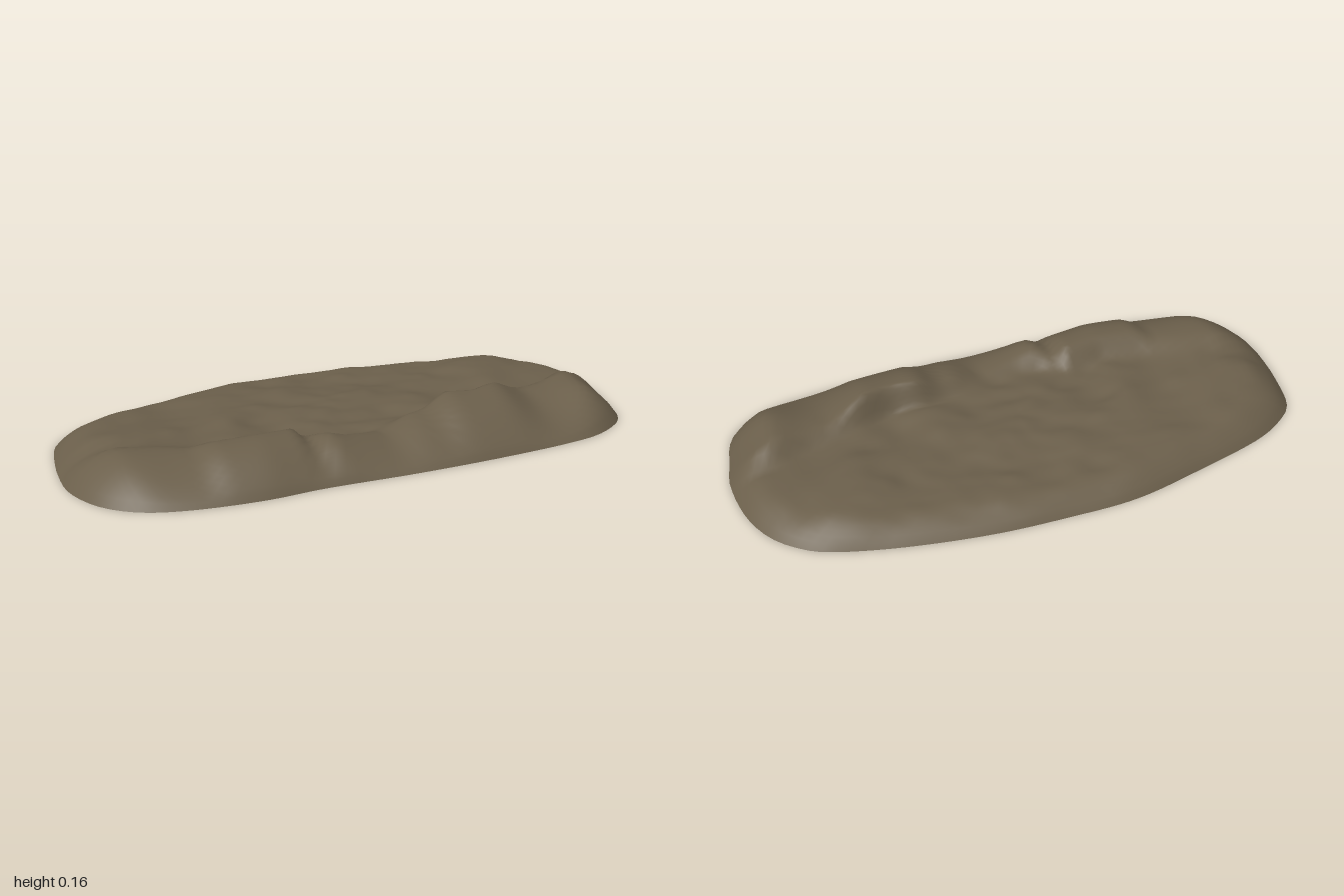
import * as THREE from 'three';

// Footprint as [x, z], anticlockwise from above
const RIM = [[1, .05], [.98, -.15], [.92, -.28], [.82, -.37], [.75, -.4], [.55, -.45], [.25, -.49], [0, -.495],
  [-.24, -.485], [-.5, -.42], [-.78, -.33], [-.88, -.27], [-.95, -.2], [-.99, -.03], [-1, .07], [-1, .18],
  [-.97, .28], [-.92, .36], [-.83, .43], [-.7, .47], [-.45, .49], [-.25, .475], [.08, .475], [.4, .46],
  [.68, .43], [.8, .4], [.92, .32], [.96, .25], [.98, .15]];

// Crest running along the front: [x, z, height]
const CREST = [[-1, .13, .1], [-.83, .17, .112], [-.7, .21, .106], [-.61, .24, .102], [-.55, .27, .126],
  [-.4, .28, .132], [-.27, .26, .126], [-.235, .27, .092], [-.17, .31, .115], [-.1, .31, .095], [.05, .27, .07],
  [.15, .24, .108], [.22, .22, .112], [.3, .2, .156], [.4, .21, .15], [.5, .18, .158], [.58, .15, .12],
  [.63, .13, .1], [.72, .11, .102], [.83, .08, .124], [.92, .06, .112], [1, .05, .1]];

// Local knobs and hollows: [x, z, radius, height]
const KNOBS = [[-.15, -.33, .05, -.014], [-.4, -.05, .08, .016], [.6, -.08, .08, .014], [.42, .09, .07, -.018],
  [-.28, .13, .1, -.016], [-.72, -.02, .13, .02], [.65, -.25, .1, .008], [0, .1, .1, -.012], [-.7, .15, .1, .014]];

function crestAt(x) {
  let i = 0;
  while (i < CREST.length - 2 && CREST[i + 1][0] < x) i++;
  const a = CREST[i], b = CREST[i + 1];
  const u = THREE.MathUtils.clamp((x - a[0]) / (b[0] - a[0]), 0, 1);
  return [a[1] + (b[1] - a[1]) * u, a[2] + (b[2] - a[2]) * u];
}

// Smooth seeded lumps between -1 and 1
function lumps(x, z) {
  const hash = (i, j) => {
    const v = Math.sin(i * 127.1 + j * 311.7 + 5) * 43758.5;
    return (v - Math.floor(v)) * 2 - 1;
  };
  const i = Math.floor(x), j = Math.floor(z);
  const u = THREE.MathUtils.smoothstep(x - i, 0, 1), v = THREE.MathUtils.smoothstep(z - j, 0, 1);
  const mix = THREE.MathUtils.lerp;
  return mix(mix(hash(i, j), hash(i + 1, j), u), mix(hash(i, j + 1), hash(i + 1, j + 1), u), v);
}

// Height of the mound at a point lying d inside the rim
function heightAt(x, z, d) {
  const { smoothstep, lerp } = THREE.MathUtils;
  const [crestZ, crestH] = crestAt(x);
  let plateau = .068 + .01 * lumps(7 * x, 9 * z) + .005 * lumps(15 * x + 3, 19 * z);
  for (const [kx, kz, r, h] of KNOBS) plateau += h * Math.exp(-((x - kx) ** 2 + (z - kz) ** 2) / (r * r));
  // a short step up to the crest from behind, steepest at the tall right hump
  const run = lerp(.1, .065, smoothstep(x, -.2, .2));
  const top = lerp(plateau, crestH, smoothstep(z, crestZ - run, crestZ - .005));
  // the rim slope reaches up to the crest in front, and is shorter at the back and ends
  const front = lerp(Math.max(.16, .47 - crestZ), .18, smoothstep(Math.abs(x), .62, .85));
  const width = lerp(.125, front, smoothstep(z, -.05, .1));
  const slope = Math.sin(Math.PI / 2 * Math.min(1, d / width)) ** .8;
  return top * slope;
}

export function createModel() {
  const group = new THREE.Group();
  group.name = 'earthMound';
  const earth = new THREE.MeshStandardMaterial({ color: 0x6b5f4b, side: THREE.DoubleSide });
  earth.name = 'brown earth';

  const curve = new THREE.CatmullRomCurve3(RIM.map(([x, z]) => new THREE.Vector3(x, 0, z)), true);
  const segs = 120, rings = 40;
  const rim = curve.getSpacedPoints(segs);
  const fine = curve.getSpacedPoints(480);

  // Concentric rings shrinking from the rim to the middle
  const pos = [0, heightAt(0, 0, 1), 0], index = [];
  for (let r = 1; r <= rings; r++) {
    for (let s = 0; s < segs; s++) {
      const x = rim[s].x * r / rings, z = rim[s].z * r / rings;
      let d = r === rings ? 0 : Infinity;
      for (const p of fine) d = Math.min(d, Math.hypot(p.x - x, p.z - z));
      pos.push(x, heightAt(x, z, d), z);
      const n = (s + 1) % segs, outer = 1 + (r - 1) * segs, inner = outer - segs;
      if (r === 1) index.push(0, outer + s, outer + n);
      else index.push(inner + s, outer + s, outer + n, inner + s, outer + n, inner + n);
    }
  }
  const geo = new THREE.BufferGeometry();
  geo.setAttribute('position', new THREE.Float32BufferAttribute(pos, 3));
  geo.setIndex(index);
  geo.computeVertexNormals();

  const mound = new THREE.Mesh(geo, earth);
  mound.name = 'mound';
  group.add(mound);
  return group;
}
